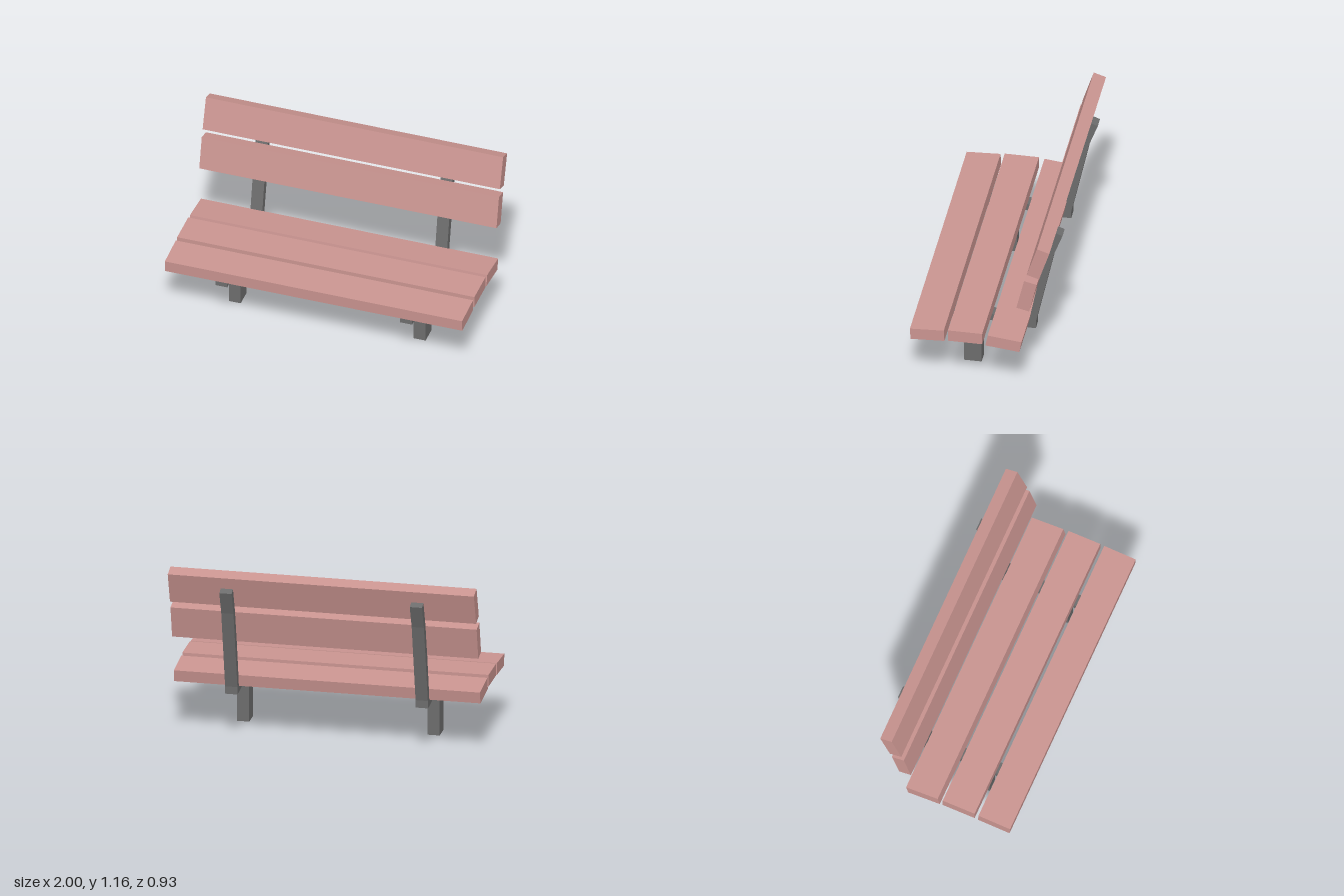
import * as THREE from 'three';

const wood = new THREE.MeshStandardMaterial({ color: 0xc99490, flatShading: true });
const metal = new THREE.MeshStandardMaterial({ color: 0x6c6c6c, flatShading: true });

// Extrudes a side profile of [z, y] corners along x, centred on x = 0
function sideProfile(points, width) {
  const shape = new THREE.Shape(points.map(([z, y]) => new THREE.Vector2(-z, y)));
  const geometry = new THREE.ExtrudeGeometry(shape, { depth: width, bevelEnabled: false });
  return geometry.translate(0, 0, -width / 2).rotateY(Math.PI / 2);
}

function addMesh(parent, name, geometry, material) {
  const mesh = new THREE.Mesh(geometry, material);
  mesh.name = name;
  parent.add(mesh);
  return mesh;
}

export function createModel() {
  const bench = new THREE.Group();
  bench.name = 'bench';

  // Planks: centre z, centre y, depth along z, height, tilt about x
  const planks = [
    ['frontSeatPlank', 0.355, 0.407, 0.22, 0.079, -0.05],
    ['middleSeatPlank', 0.109, 0.418, 0.222, 0.08, 0],
    ['rearSeatPlank', -0.14, 0.399, 0.22, 0.078, -0.11, true],
    ['lowerBackPlank', -0.29, 0.788, 0.085, 0.219, -0.228],
    ['upperBackPlank', -0.364, 1.046, 0.084, 0.218, -0.312],
  ];
  for (const [name, z, y, depth, height, tilt, slanted] of planks) {
    const geometry = new THREE.BoxGeometry(2, height, depth);
    if (name === 'frontSeatPlank') geometry.rotateX(0.05);
    else if (slanted) {
      // Slopes down to the back, its ends leaning with the backrest
      const p = geometry.attributes.position;
      for (let i = 0; i < p.count; i++) {
        const lean = p.getY(i) * -0.19;
        p.setXYZ(i, p.getX(i), p.getY(i) + p.getZ(i) * 0.11, p.getZ(i) + lean);
      }
    } else geometry.rotateX(tilt);
    addMesh(bench, name, geometry, wood).position.set(0, y, z);
  }

  // Bent supports under the seat and up behind the backrest, each on one post
  const support = sideProfile([
    [0.45, 0.32], [0.45, 0.364], [0.244, 0.378], [-0.005, 0.378], [-0.24, 0.348],
    [-0.305, 0.674], [-0.357, 0.89], [-0.416, 1.06], [-0.46, 1.043], [-0.403, 0.889],
    [-0.287, 0.354], [-0.287, 0.304], [-0.24, 0.304], [-0.02, 0.33], [0.244, 0.33],
  ], 0.08);
  const post = new THREE.BoxGeometry(0.08, 0.335, 0.115);
  for (const [side, x] of [['left', 0.618], ['right', -0.626]]) {
    addMesh(bench, side + 'Support', support, metal).position.x = x;
    addMesh(bench, side + 'Post', post, metal).position.set(x, 0.1675, 0.122);
  }
  return bench;
}
